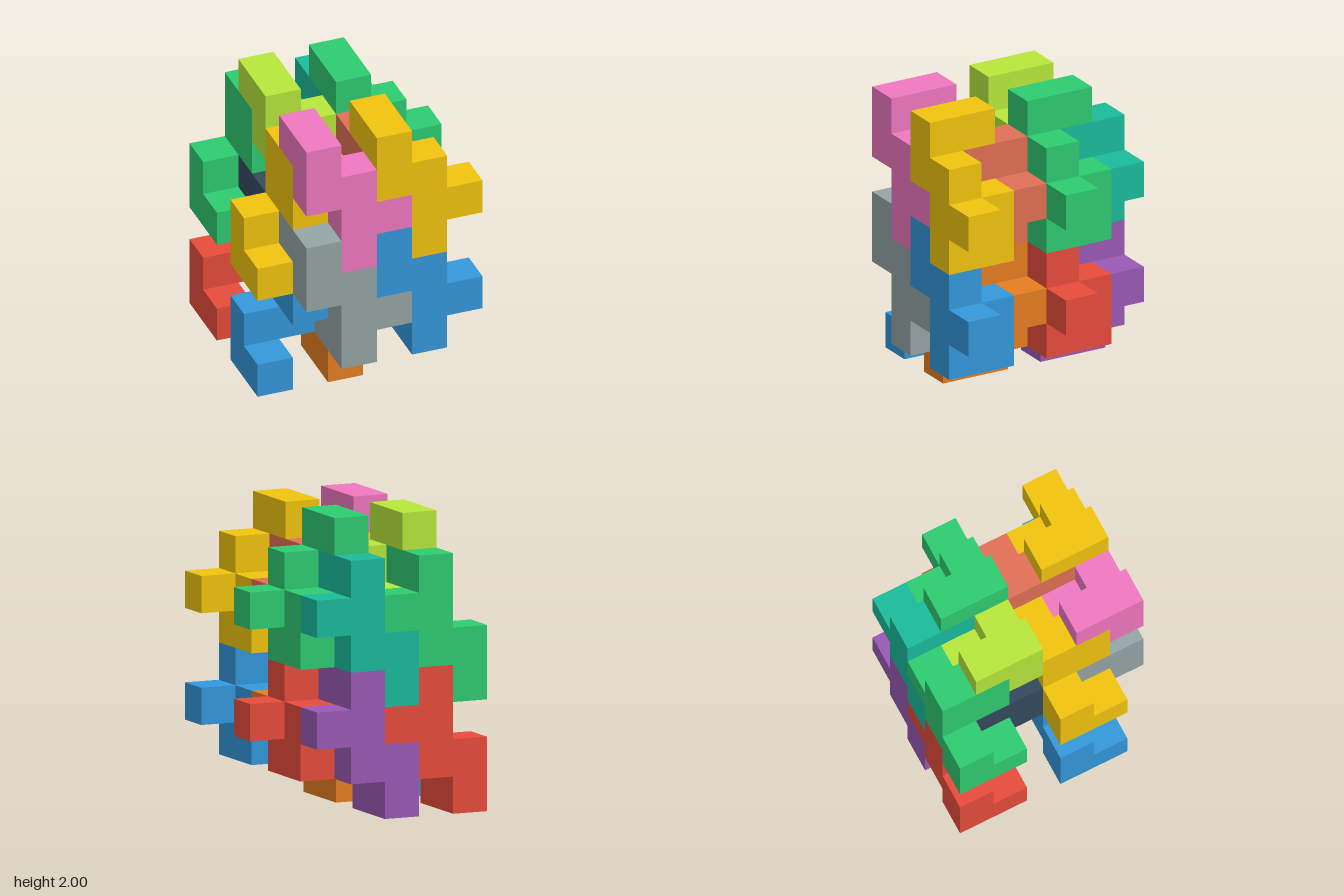
import * as THREE from 'three';
import { mergeGeometries } from 'three/addons/utils/BufferGeometryUtils.js';

const U = 0.25; // edge of one cube

// One puzzle piece: nine cubes in two layers, as [x, y, z] around the pivot cube
const CELLS = [
  [-1, 2, 1], [-1, 1, 1], [0, 1, 1], [0, 0, 1], [0, -1, 1], [1, 0, 1],
  [-1, 2, 0], [0, 0, 0], [0, -1, 0],
];

// Turns that aim a plane's +z normal along each outward direction
const SIDES = [
  { dir: [1, 0, 0], rx: 0, ry: Math.PI / 2 },
  { dir: [-1, 0, 0], rx: 0, ry: -Math.PI / 2 },
  { dir: [0, 1, 0], rx: -Math.PI / 2, ry: 0 },
  { dir: [0, -1, 0], rx: Math.PI / 2, ry: 0 },
  { dir: [0, 0, 1], rx: 0, ry: 0 },
  { dir: [0, 0, -1], rx: 0, ry: Math.PI },
];

// Outer skin of the piece: a square wherever a cube has no neighbour
function pieceGeometry() {
  const filled = new Set(CELLS.map(String));
  const squares = [];
  for (const cell of CELLS) {
    for (const { dir, rx, ry } of SIDES) {
      if (filled.has(String(cell.map((c, i) => c + dir[i])))) continue;
      const center = cell.map((c, i) => (c + dir[i] / 2) * U);
      squares.push(new THREE.PlaneGeometry(U, U).rotateX(rx).rotateY(ry).translate(...center));
    }
  }
  return mergeGeometries(squares);
}

// Pieces of one block by pivot column; flipped ones are turned half round about x
const SLOTS = [
  { name: 'LeftPiece', column: 4, flipped: false },
  { name: 'RightPiece', column: 2, flipped: false },
  { name: 'LeftFlippedPiece', column: 3, flipped: true },
  { name: 'RightFlippedPiece', column: 1, flipped: true },
];

// Four blocks of four interlocking pieces, colours in slot order
const BLOCKS = [
  { name: 'upperFront', row: 5, depth: 4, colors: [0xf1c40f, 0xf078c0, 0xe17055, 0xf1c40f] },
  { name: 'lowerFront', row: 2, depth: 4, colors: [0x3498db, 0x95a5a6, 0xe67e22, 0x3498db] },
  { name: 'upperBack', row: 5, depth: 1, colors: [0x2ecc71, 0xb8e83c, 0x1abc9c, 0x2ecc71] },
  { name: 'lowerBack', row: 2, depth: 1, colors: [0xe74c3c, 0x34495e, 0x9b59b6, 0xe74c3c] },
];

export function createModel() {
  const model = new THREE.Group();
  model.name = 'interlockingBlocks';
  const geometry = pieceGeometry();
  for (const { name, row, depth, colors } of BLOCKS) {
    const block = new THREE.Group();
    block.name = name + 'Block';
    SLOTS.forEach((slot, i) => {
      const piece = new THREE.Mesh(geometry, new THREE.MeshStandardMaterial({ color: colors[i] }));
      piece.name = name + slot.name;
      piece.position.set((slot.column - 2.5) * U, (row + 0.5) * U, (depth - 2.5) * U);
      if (slot.flipped) piece.rotation.x = Math.PI;
      block.add(piece);
    });
    model.add(block);
  }
  return model;
}
